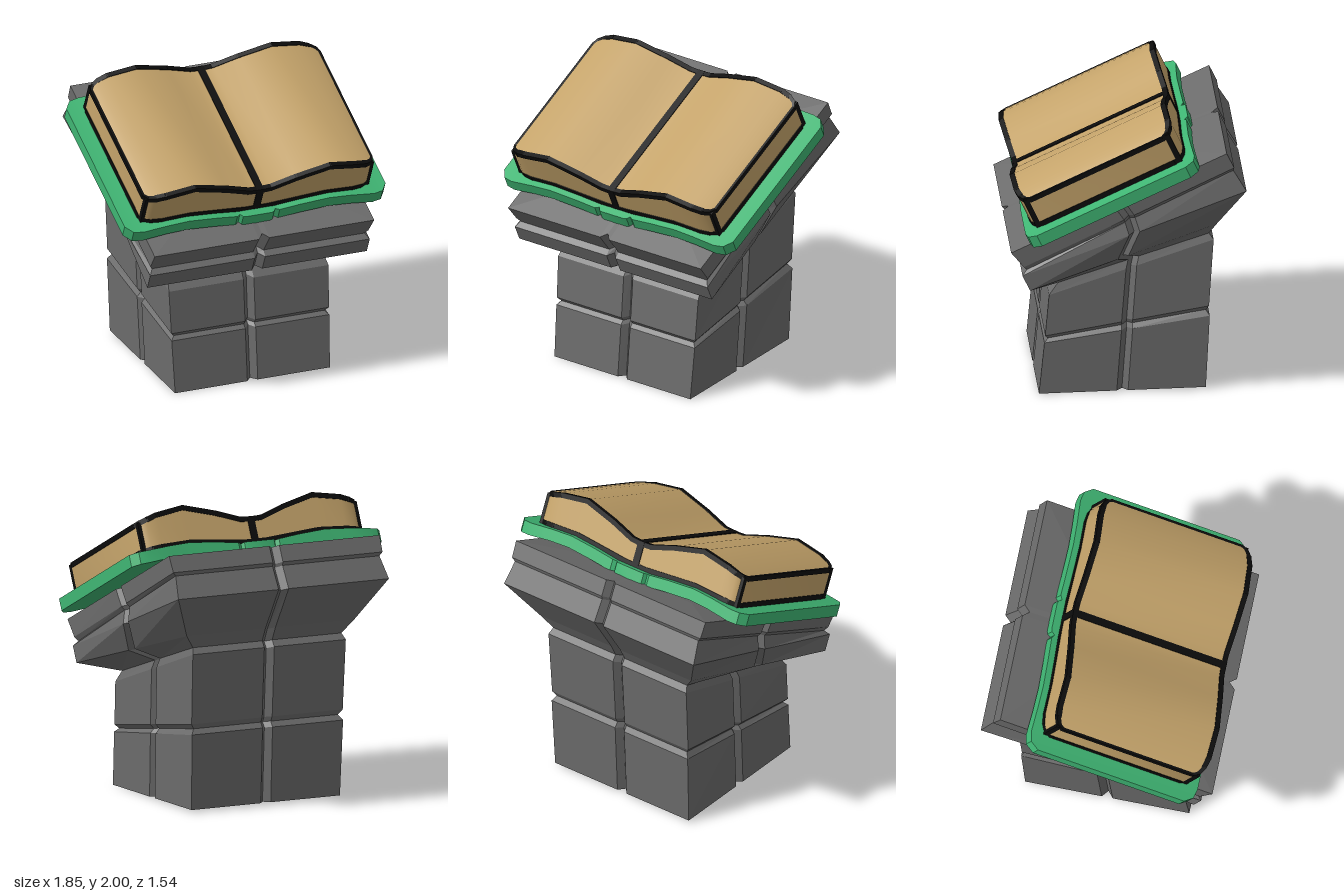
import * as THREE from 'three';
import { toCreasedNormals } from 'three/addons/utils/BufferGeometryUtils.js';

const V = (x, y, z) => new THREE.Vector3(x, y, z);

// Skin a list of closed rings and close both ends with fans
function loft(rings) {
  const pos = [];
  const tri = (...pts) => pts.forEach((p) => pos.push(p.x, p.y, p.z));
  const n = rings[0].length;
  for (let i = 0; i < rings.length - 1; i++) {
    for (let j = 0; j < n; j++) {
      const k = (j + 1) % n;
      const a = rings[i][j], b = rings[i][k], c = rings[i + 1][k], d = rings[i + 1][j];
      tri(a, b, c);
      tri(a, c, d);
    }
  }
  const cap = (ring, flip) => {
    const mid = ring.reduce((s, p) => s.add(p), V(0, 0, 0)).divideScalar(n);
    ring.forEach((p, j) => {
      const q = ring[(j + 1) % n];
      flip ? tri(mid, q, p) : tri(mid, p, q);
    });
  };
  cap(rings[0], true);
  cap(rings[rings.length - 1], false);
  const g = new THREE.BufferGeometry();
  g.setAttribute('position', new THREE.Float32BufferAttribute(pos, 3));
  g.computeVertexNormals();
  return g;
}

// Slanted rectangular ring with a V notch in the middle of each side
function stoneRing([zf, yf, zb, yb, wf, wb = wf]) {
  const corners = [V(-wf, yf, zf), V(wf, yf, zf), V(wb, yb, zb), V(-wb, yb, zb)];
  const center = corners.reduce((s, p) => s.add(p), V(0, 0, 0)).divideScalar(4);
  return corners.flatMap((a, i) => {
    const b = corners[(i + 1) % 4];
    const mid = a.clone().lerp(b, 0.5);
    const along = b.clone().sub(a).normalize().multiplyScalar(0.037);
    const inward = center.clone().sub(mid).normalize().multiplyScalar(0.045);
    return [a, mid.clone().sub(along), mid.clone().add(inward), mid.clone().add(along)];
  });
}

// Mirror a half list of [x, bottom, top, halfDepth] stations to both sides
function mirrorStations(half) {
  const left = half.filter((s) => s[0] > 0).reverse().map(([x, ...r]) => [-x, ...r]);
  return [...left, ...half];
}

const slab = (stations) => loft(stations.map(([x, yb, yt, h]) =>
  [V(x, yt, -h), V(x, yt, h), V(x, yb, h), V(x, yb, -h)]));

export function createModel() {
  const model = new THREE.Group();
  const stone = new THREE.MeshStandardMaterial({ color: 0x6c6c6c, flatShading: true });
  const green = new THREE.MeshStandardMaterial({ color: 0x3fb573 });
  const paper = new THREE.MeshStandardMaterial({ color: 0xc4a36a });
  const black = new THREE.MeshStandardMaterial({ color: 0x0c0c0c });

  const add = (parent, name, geometry, material) => {
    const mesh = new THREE.Mesh(geometry, material);
    mesh.name = name;
    parent.add(mesh);
    return mesh;
  };

  // Stone pedestal: [frontZ, frontY, backZ, backY, front half width, back half width]
  const pedestal = [
    [0.575, 0, -0.52, 0.015, 0.55],
    [0.54, 0.36, -0.545, 0.52, 0.56],
    [0.515, 0.385, -0.52, 0.555, 0.535],
    [0.535, 0.41, -0.54, 0.59, 0.56],
    [0.51, 0.70, -0.57, 1.06, 0.567],
    [0.45, 0.78, -0.54, 1.10, 0.55],
    [0.65, 0.82, -0.585, 1.19, 0.78, 0.62],
    [0.70, 0.925, -0.77, 1.48, 0.78],
    [0.67, 0.96, -0.685, 1.62, 0.755],
    [0.69, 0.985, -0.69, 1.645, 0.775],
    [0.775, 1.09, -0.64, 1.748, 0.78],
    [0.56, 1.208, -0.42, 1.664, 0.5],
  ];
  add(model, 'stonePedestal', loft(pedestal.map(stoneRing)), stone);

  // Open book, lying on the slanted top
  const book = new THREE.Group();
  book.name = 'openBook';
  book.position.set(0, 1.414, 0.092);
  book.rotation.x = 0.436;
  model.add(book);

  // Wavy cover board with a spine block in the middle
  const cover = mirrorStations([
    [0.09, -0.005, 0.08, 0.618], [0.11, -0.005, 0.08, 0.612], [0.125, 0, 0.078, 0.588],
    [0.15, 0.003, 0.082, 0.606], [0.3, 0.02, 0.1, 0.606], [0.5, 0.036, 0.116, 0.606],
    [0.65, 0.028, 0.107, 0.608], [0.82, 0.008, 0.09, 0.612],
    [0.885, 0.005, 0.087, 0.597], [0.927, 0.005, 0.087, 0.538],
  ]);
  add(book, 'cover', toCreasedNormals(slab(cover), 0.5), green);

  // Page block
  const pages = mirrorStations([
    [0, 0.07, 0.254, 0.558], [0.08, 0.07, 0.26, 0.558], [0.25, 0.085, 0.317, 0.558],
    [0.48, 0.105, 0.376, 0.558], [0.68, 0.095, 0.344, 0.558],
    [0.755, 0.09, 0.324, 0.546], [0.795, 0.085, 0.31, 0.524], [0.814, 0.085, 0.302, 0.488],
  ]);
  add(book, 'pages', toCreasedNormals(slab(pages), 0.6), paper);

  // Black outline bars along the page edges
  const outline = new THREE.Group();
  outline.name = 'pageOutline';
  book.add(outline);
  const bar = (a, b, w = 0.034) => {
    const g = new THREE.BoxGeometry(w, w, a.distanceTo(b) + 0.012);
    const m = add(outline, 'outlineBar', g, black);
    m.position.copy(a).lerp(b, 0.5);
    m.quaternion.setFromRotationMatrix(new THREE.Matrix4().lookAt(b, a, V(0, 1, 0)));
  };
  const inset = 0.012;
  const rim = (level, dy) => {
    const edge = (s, side) =>
      V(s[0] - Math.sign(s[0]) * inset * (Math.abs(s[0]) > 0.7), s[level] + dy, side * (s[3] - inset));
    const loop = [
      ...pages.map((s) => edge(s, 1)),
      ...pages.slice().reverse().map((s) => edge(s, -1)),
    ];
    loop.forEach((p, i) => bar(p, loop[(i + 1) % loop.length]));
  };
  rim(2, -inset);
  rim(1, inset + 0.01);

  // Upright bars at the corners
  for (const sx of [-1, 1]) {
    for (const sz of [-1, 1]) {
      bar(V(sx * 0.79, 0.09, sz * 0.505), V(sx * 0.79, 0.295, sz * 0.505), 0.044);
    }
  }

  // Centre fold running over the top and down both ends
  const fold = add(outline, 'centreFold', new THREE.BoxGeometry(0.05, 0.195, 1.128), black);
  fold.position.y = 0.164;

  return model;
}
